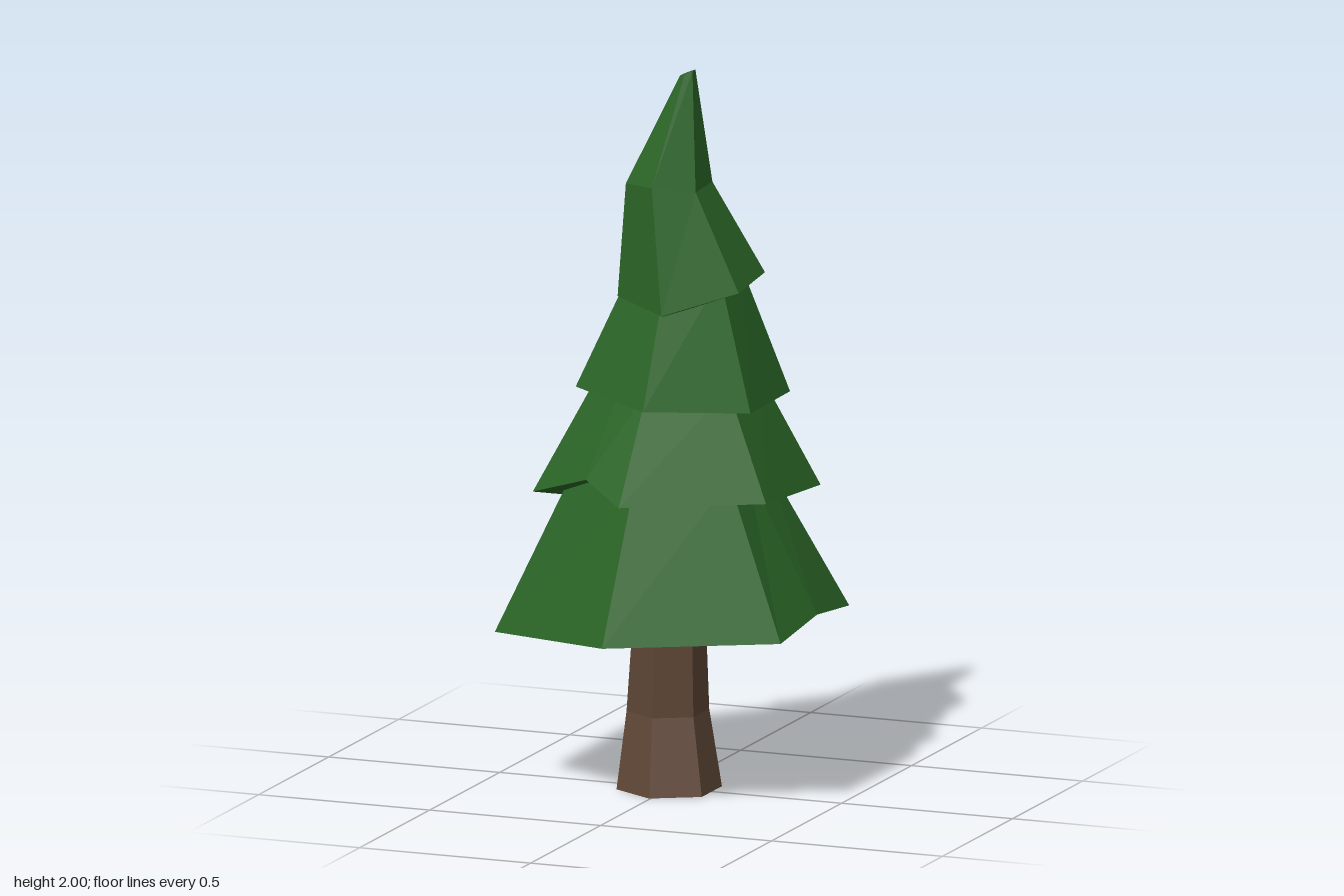
import * as THREE from 'three';

const SIDES = 6;

// Regular six-sided ring with a corner facing +z, running front -> +x -> back
function hexRing(x, y, z, r, tilt = 0) {
  return Array.from({ length: SIDES }, (_, i) => {
    const a = (i / SIDES) * Math.PI * 2;
    return new THREE.Vector3(x + Math.sin(a) * r, y + Math.sin(a) * tilt, z + Math.cos(a) * r);
  });
}

function centreOf(ring) {
  const c = new THREE.Vector3();
  ring.forEach((p) => c.add(p));
  return c.divideScalar(ring.length);
}

// Skin consecutive rings with flat facets and close both ends
function loft(rings, material, name) {
  const cap = (ring) => ring.map(() => centreOf(ring));
  const all = [cap(rings[0]), ...rings, cap(rings[rings.length - 1])];
  const pos = [];
  const tri = (a, b, c) => {
    if (a.equals(b) || b.equals(c) || c.equals(a)) return;
    for (const p of [a, b, c]) pos.push(p.x, p.y, p.z);
  };
  for (let k = 0; k < all.length - 1; k++) {
    const lo = all[k], hi = all[k + 1], n = lo.length;
    for (let i = 0; i < n; i++) {
      const j = (i + 1) % n;
      tri(lo[i], lo[j], hi[j]);
      tri(lo[i], hi[j], hi[i]);
    }
  }
  const geometry = new THREE.BufferGeometry();
  geometry.setAttribute('position', new THREE.Float32BufferAttribute(pos, 3));
  geometry.computeVertexNormals();
  const mesh = new THREE.Mesh(geometry, material);
  mesh.name = name;
  return mesh;
}

// Hollow skirt of branches: inner roof, inner rim, outer rim, then upper rings
function branchTier({ name, rim, upper, roof, notch }, material) {
  const outer = rim.map((p) => new THREE.Vector3(...p));
  const rings = [roof, outer, ...upper];
  if (notch) {
    // A raised point splits one edge of the rim
    for (const ring of rings) {
      const i = notch.edge;
      const mid = ring === outer
        ? new THREE.Vector3(...notch.point)
        : ring[i].clone().lerp(ring[(i + 1) % SIDES], 0.5);
      ring.splice(i + 1, 0, mid);
    }
  }
  const c = centreOf(outer);
  const inner = outer.map((p) => new THREE.Vector3(
    c.x + (p.x - c.x) * 0.84, p.y - 0.006, c.z + (p.z - c.z) * 0.84));
  return loft([roof, inner, outer, ...upper], material, name);
}

export function createModel() {
  const tree = new THREE.Group();
  tree.name = 'pineTree';
  const green = new THREE.MeshStandardMaterial({ color: 0x2a6426, flatShading: true });
  const brown = new THREE.MeshStandardMaterial({ color: 0x5f4737, flatShading: true });

  // Trunk, bent slightly near the ground
  tree.add(loft([
    hexRing(-0.004, 0, 0, 0.144),
    hexRing(-0.017, 0.21, -0.022, 0.113),
    hexRing(-0.005, 0.5, -0.005, 0.098),
    hexRing(0, 0.8, 0, 0.08),
  ], brown, 'trunk'));

  // Branch tiers from bottom to top
  const tiers = [
    {
      name: 'bottomBranches',
      rim: [[0, 0.488, 0.49], [0.42, 0.485, 0.24], [0.42, 0.49, -0.25],
        [0, 0.485, -0.495], [-0.43, 0.48, -0.25], [-0.42, 0.445, 0.23]],
      notch: { edge: 1, point: [0.428, 0.517, 0] },
      upper: [hexRing(0, 0.9, 0, 0.26)],
      roof: hexRing(0, 0.78, 0, 0.22),
    },
    {
      name: 'lowerMiddleBranches',
      rim: [[0.02, 0.865, 0.42], [0.365, 0.862, 0.21], [0.365, 0.835, -0.18],
        [0.03, 0.797, -0.375], [-0.34, 0.76, -0.18], [-0.315, 0.84, 0.215]],
      notch: { edge: 5, point: [-0.11, 0.915, 0.335] },
      upper: [hexRing(0.025, 1.15, 0.008, 0.222)],
      roof: hexRing(0.02, 1.04, 0.005, 0.19),
    },
    {
      name: 'upperMiddleBranches',
      rim: [[0.045, 1.11, 0.308], [0.295, 1.095, 0.15], [0.29, 1.095, -0.145],
        [0.02, 1.09, -0.288], [-0.21, 1.135, -0.12], [-0.21, 1.13, 0.165]],
      upper: [hexRing(0.05, 1.45, 0.01, 0.15)],
      roof: hexRing(0.045, 1.32, 0.01, 0.13),
    },
    {
      name: 'topBranches',
      rim: [[0.06, 1.357, 0.213], [0.24, 1.413, 0.1], [0.235, 1.43, -0.1],
        [0.055, 1.412, -0.2], [-0.11, 1.4, -0.09], [-0.11, 1.378, 0.11]],
      // Crooked shoulder, then the leaning tip
      upper: [
        [[0.005, 1.695, 0.147], [0.11, 1.68, 0.09], [0.11, 1.685, -0.03],
          [0.02, 1.695, -0.08], [-0.085, 1.69, -0.025], [-0.09, 1.69, 0.1]]
          .map((p) => new THREE.Vector3(...p)),
        hexRing(0.055, 1.992, 0.012, 0.021, 0.009),
      ],
      roof: hexRing(0.03, 1.6, 0.02, 0.08),
    },
  ];
  tiers.forEach((t) => tree.add(branchTier(t, green)));
  return tree;
}
